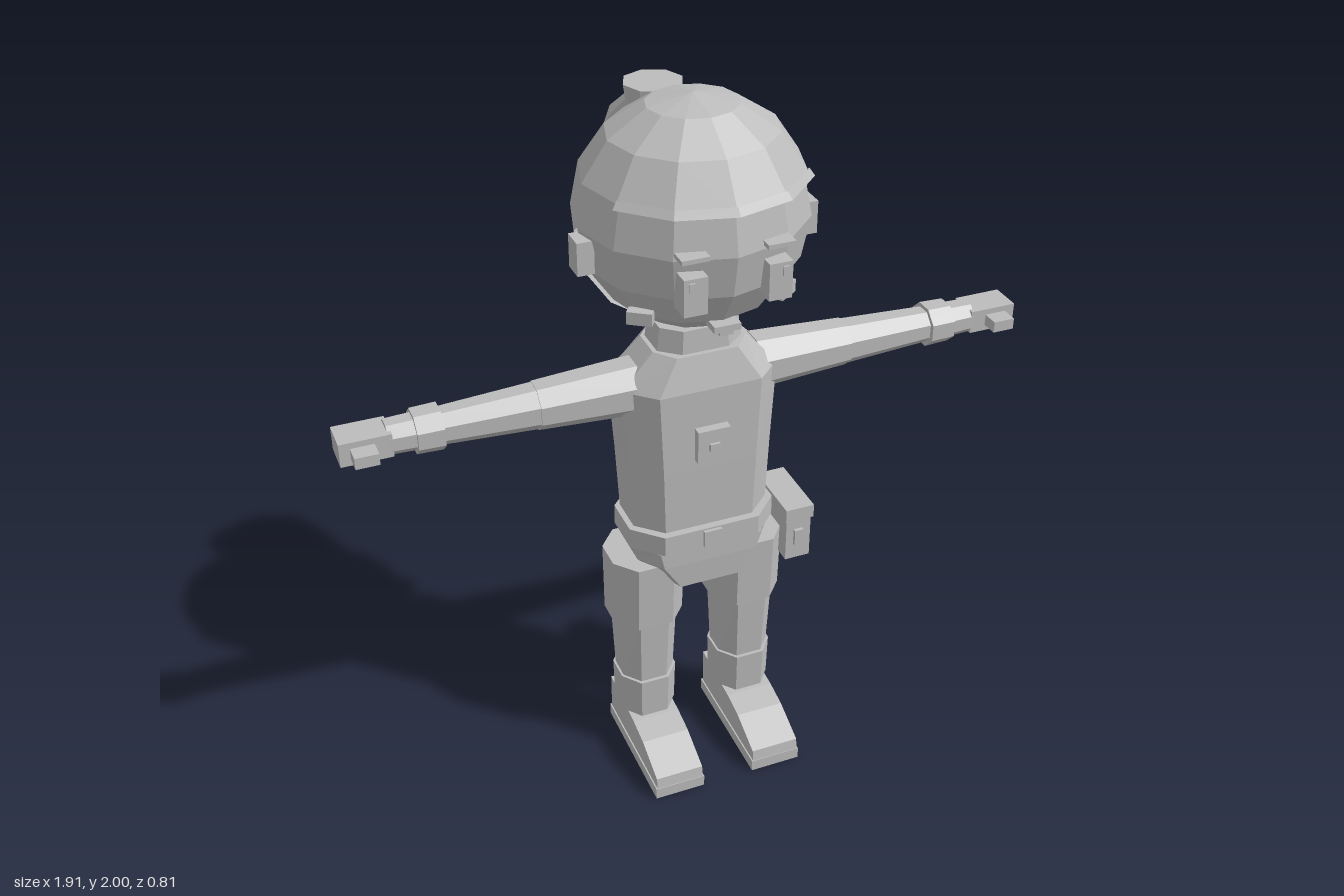
import * as THREE from 'three';

const grey = new THREE.MeshStandardMaterial({ color: 0xbcbcbc });
grey.name = 'plain grey';
grey.flatShading = true;
grey.side = THREE.DoubleSide;

const Z = 0.118; // depth of the body's centre line

function add(parent, name, geometry, x = 0, y = 0, z = 0) {
  const mesh = new THREE.Mesh(geometry, grey);
  mesh.name = name;
  mesh.position.set(x, y, z);
  parent.add(mesh);
  return mesh;
}

// Box given by its lower and upper bounds
function box(parent, name, x0, x1, y0, y1, z0, z1) {
  return add(parent, name, new THREE.BoxGeometry(x1 - x0, y1 - y0, z1 - z0),
    (x0 + x1) / 2, (y0 + y1) / 2, (z0 + z1) / 2);
}

// Vertical loft through eight-sided rings [y, halfX, halfZ, centreZ]; cx and cz set the corner cuts
function loft(rings, cx = 0.414, cz = 0.414, diamond = false) {
  const shape = diamond
    ? [[0, 1], [0.71, 0.71], [1, 0], [0.71, -0.71], [0, -1], [-0.71, -0.71], [-1, 0], [-0.71, 0.71]]
    : [[cx, 1], [1, cz], [1, -cz], [cx, -1], [-cx, -1], [-1, -cz], [-1, cz], [-cx, 1]];
  const pos = [], idx = [], n = 8;
  for (const [y, hx, hz, z = 0] of rings) {
    for (const [u, v] of shape) pos.push(u * hx, y, z + v * hz);
  }
  for (let r = 0; r < rings.length - 1; r++) {
    for (let i = 0; i < n; i++) {
      const a = r * n + i, b = r * n + (i + 1) % n;
      idx.push(a, b, b + n, a, b + n, a + n);
    }
  }
  const top = (rings.length - 1) * n;
  for (let i = 1; i < n - 1; i++) {
    idx.push(0, i + 1, i, top, top + i, top + i + 1);
  }
  const g = new THREE.BufferGeometry();
  g.setAttribute('position', new THREE.Float32BufferAttribute(pos, 3));
  g.setIndex(idx);
  const flat = g.toNonIndexed();
  flat.computeVertexNormals();
  return flat;
}

function buildHead(model) {
  const head = new THREE.Group();
  head.name = 'head';
  model.add(head);

  const P = Math.PI, r = 0.31;
  const skull = new THREE.Group();
  skull.name = 'skull';
  skull.position.set(0, 1.69, Z - 0.01);
  skull.scale.set(1.01, 1, 0.96);
  head.add(skull);
  add(skull, 'face', new THREE.SphereGeometry(0.3, 12, 8));
  add(skull, 'hairTop', new THREE.SphereGeometry(r, 12, 3, 0, 2 * P, 0, 3 * P / 8));
  add(skull, 'hairBack', new THREE.SphereGeometry(r, 6, 5, P, P, 3 * P / 8, 5 * P / 8));

  // Sloping hairline between fringe and ears
  const point = (theta, phi, s) => [s * r * Math.sin(theta) * Math.sin(phi),
    r * Math.cos(theta), r * Math.sin(theta) * Math.cos(phi)];
  for (const s of [1, -1]) {
    const tri = [point(3 * P / 8, P / 3, s), point(P / 2, P / 2, s), point(3 * P / 8, P / 2, s)];
    if (s < 0) tri.reverse();
    const g = new THREE.BufferGeometry();
    g.setAttribute('position', new THREE.Float32BufferAttribute(tri.flat(), 3));
    g.computeVertexNormals();
    add(skull, 'hairSide', g);
  }
  // Fringe lip over the forehead
  const lip = add(skull, 'fringe', new THREE.CylinderGeometry(0.287, 0.302, 0.02, 4, 1, true, -P / 3, 2 * P / 3), 0, 0.119, 0);
  lip.scale.z = 1.02;

  // Facial features
  for (const s of [1, -1]) {
    const pair = (name, x0, x1, ...rest) => box(head, name, Math.min(s * x0, s * x1), Math.max(s * x0, s * x1), ...rest);
    pair('eye', 0.08, 0.142, 1.56, 1.66, 0.34, 0.403);
    pair('pupil', 0.115, 0.13, 1.625, 1.65, 0.395, 0.408);
    pair('eyebrow', 0.075, 0.148, 1.7, 1.712, 0.34, 0.403);
    pair('ear', 0.28, 0.325, 1.59, 1.68, 0.1, 0.163);
    const cheek = add(head, 'cheek', new THREE.BoxGeometry(0.065, 0.035, 0.03), s * 0.195, 1.497, 0.25);
    cheek.rotation.y = s * 0.6;
  }
  box(head, 'mouth', -0.036, 0.036, 1.462, 1.48, 0.29, 0.343);
  box(head, 'lowerLip', -0.018, 0.018, 1.448, 1.462, 0.29, 0.335);

  // Ponytail hanging from a hair tie
  add(head, 'hairTie', new THREE.CylinderGeometry(0.082, 0.075, 0.045, 8), 0, 1.912, -0.155);
  add(head, 'ponytail', loft([
    [1.37, 0.03, 0.025, -0.268], [1.56, 0.095, 0.085, -0.285], [1.69, 0.115, 0.11, -0.29],
    [1.82, 0.09, 0.09, -0.245], [1.9, 0.06, 0.06, -0.165],
  ], 0, 0, true));
}

function buildBody(model) {
  const body = new THREE.Group();
  body.name = 'body';
  model.add(body);
  add(body, 'neck', loft([[1.32, 0.12, 0.09, Z], [1.4, 0.11, 0.085, Z]], 0.55, 0.5));
  add(body, 'torso', loft([
    [0.78, 0.195, 0.118, 0.125], [1.0, 0.205, 0.127, 0.12], [1.24, 0.22, 0.132, 0.114],
    [1.335, 0.13, 0.102, Z],
  ], 0.65, 0.45));
  add(body, 'belt', loft([[0.75, 0.212, 0.135, 0.13], [0.81, 0.212, 0.135, 0.13]], 0.65, 0.45));
  add(body, 'hips', loft([
    [0.62, 0.12, 0.125, 0.128], [0.7, 0.19, 0.13, 0.128], [0.75, 0.205, 0.13, 0.128],
  ], 0.72, 0.45));
  box(body, 'beltBuckle', -0.026, 0.026, 0.755, 0.805, 0.24, 0.275);
  box(body, 'chestPocket', -0.045, 0.045, 1.03, 1.085, 0.22, 0.268);
  box(body, 'pocketFlap', -0.046, 0.046, 1.085, 1.13, 0.22, 0.272);
  box(body, 'pocketButton', -0.014, 0.014, 1.068, 1.09, 0.25, 0.28);

  // Hip pouch on the left side
  box(body, 'pouch', 0.245, 0.32, 0.6, 0.735, 0.035, 0.225);
  box(body, 'pouchLid', 0.24, 0.325, 0.735, 0.775, 0.03, 0.232);
  box(body, 'pouchClasp', 0.268, 0.295, 0.65, 0.7, 0.22, 0.235);
}

function buildArm(model, s) {
  const arm = new THREE.Group();
  arm.name = s > 0 ? 'leftArm' : 'rightArm';
  arm.position.set(0, 1.222, 0.122);
  arm.rotation.z = -s * Math.PI / 2; // the loft axis points outward
  model.add(arm);
  add(arm, 'upperArm', loft([[0.17, 0.074, 0.074], [0.44, 0.06, 0.062]]));
  add(arm, 'forearm', loft([[0.44, 0.058, 0.058], [0.7, 0.046, 0.046]]));
  add(arm, 'cuff', loft([[0.69, 0.057, 0.06], [0.76, 0.055, 0.058]]));
  add(arm, 'wrist', loft([[0.76, 0.045, 0.048], [0.83, 0.043, 0.045]]));
  box(arm, 'hand', -0.033, 0.033, 0.82, 0.955, -0.045, 0.045);
  box(arm, 'thumb', -0.016, 0.016, 0.865, 0.927, 0.04, 0.093);
}

function buildLeg(model, s) {
  const leg = new THREE.Group();
  leg.name = s > 0 ? 'leftLeg' : 'rightLeg';
  leg.position.x = s * 0.15;
  model.add(leg);
  add(leg, 'shortsLeg', loft([[0.475, 0.103, 0.1, 0.122], [0.69, 0.105, 0.106, 0.126]], 0.5));
  add(leg, 'shin', loft([[0.12, 0.07, 0.075, 0.122], [0.265, 0.077, 0.08, 0.122], [0.48, 0.086, 0.092, 0.122]], 0.5));
  add(leg, 'sock', loft([[0.135, 0.08, 0.085, 0.122], [0.265, 0.083, 0.09, 0.122]], 0.5));

  // Shoe: side profile extruded across the foot
  const side = new THREE.Shape([[-0.025, 0.035], [-0.405, 0.035], [-0.4, 0.068], [-0.29, 0.115], [-0.215, 0.13], [-0.025, 0.148]]
    .map(([x, y]) => new THREE.Vector2(x, y)));
  const shoe = new THREE.ExtrudeGeometry(side, { depth: 0.14, bevelEnabled: false });
  shoe.translate(0, 0, -0.07);
  shoe.rotateY(Math.PI / 2);
  add(leg, 'shoe', shoe);
  box(leg, 'sole', -0.074, 0.074, 0, 0.035, 0.02, 0.407);
}

export function createModel() {
  const model = new THREE.Group();
  model.name = 'character';
  buildHead(model);
  buildBody(model);
  for (const s of [1, -1]) {
    buildArm(model, s);
    buildLeg(model, s);
  }
  return model;
}
